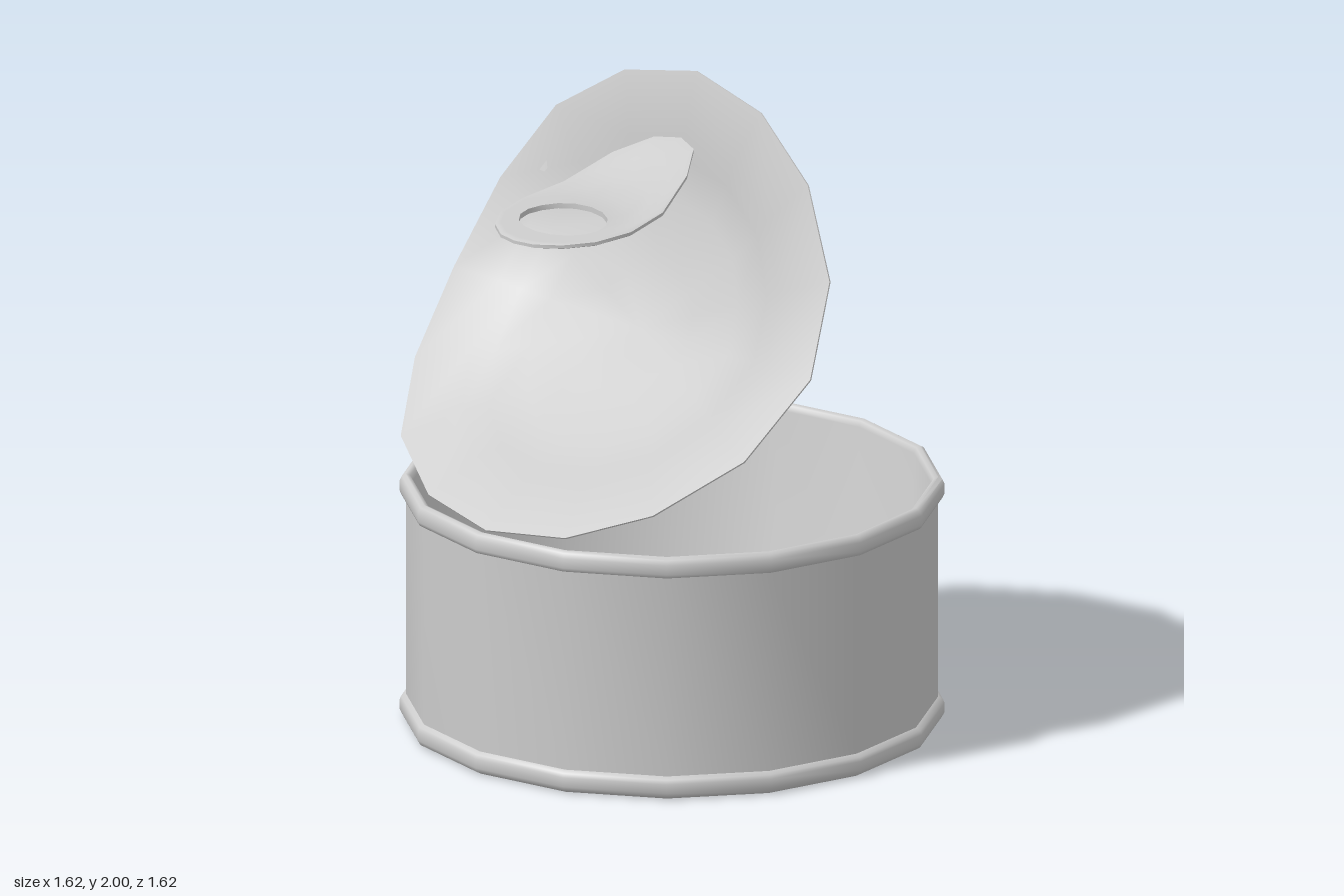
import * as THREE from 'three';
import { toCreasedNormals } from 'three/addons/utils/BufferGeometryUtils.js';

const SIDES = 16;

// Piecewise linear lookup in a list of [key, value] pairs
function lookup(table, k) {
  let i = 0;
  while (i < table.length - 2 && k > table[i + 1][0]) i++;
  const [k0, v0] = table[i], [k1, v1] = table[i + 1];
  return v0 + ((v1 - v0) * (k - k0)) / (k1 - k0);
}

// Skin between rings of SIDES points each; closed joins the last ring to the first
function loft(rings, closed) {
  const pos = rings.flat().flatMap((p) => [p.x, p.y, p.z]);
  const index = [];
  const n = rings.length;
  for (let i = 0; i < (closed ? n : n - 1); i++) {
    for (let j = 0; j < SIDES; j++) {
      const k = (j + 1) % SIDES, m = (i + 1) % n;
      const a = i * SIDES + j, b = i * SIDES + k, c = m * SIDES + k, d = m * SIDES + j;
      index.push(a, b, d, b, c, d);
    }
  }
  const geo = new THREE.BufferGeometry();
  geo.setAttribute('position', new THREE.Float32BufferAttribute(pos, 3));
  geo.setIndex(index);
  return geo;
}

const ring = (fn) => Array.from({ length: SIDES }, (_, j) => fn((j / SIDES) * Math.PI * 2, j));

// Can shell: underside, seams, wall, rim, inside wall and floor in one profile
function canGeometry() {
  const profile = [
    [0, 0.035], [0.53, 0.035], [0.58, 0.022], [0.76, 0.022], [0.775, 0.006],
    [0.79, 0], [0.805, 0.008], [0.812, 0.022], [0.812, 0.05], [0.807, 0.062], [0.793, 0.07],
    [0.793, 0.69], [0.807, 0.694], [0.812, 0.706], [0.812, 0.735], [0.805, 0.75],
    [0.793, 0.757], [0.78, 0.752], [0.773, 0.735],
    [0.773, 0.12], [0.75, 0.075], [0.7, 0.055], [0.58, 0.045], [0.53, 0.058], [0, 0.058],
  ].map(([x, y]) => new THREE.Vector2(x, y));
  return new THREE.LatheGeometry(profile, SIDES);
}

// Peeled lid: a disc with a pressed panel, bent along a curve
function lidGeometry() {
  const R = 0.765;
  const bendX = [[-R, -0.77], [-0.707, -0.725], [-0.54, -0.6], [-0.29, -0.38], [0, -0.165],
    [0.29, -0.03], [0.54, 0.04], [0.707, 0.085], [R, 0.1]];
  const bendY = [[-R, 0.757], [-0.707, 0.79], [-0.54, 0.89], [-0.29, 1.05], [0, 1.27],
    [0.29, 1.53], [0.54, 1.78], [0.707, 1.94], [R, 2]];
  const point = (r, depth) => (a) => {
    const s = r * Math.cos(a);
    const lo = Math.max(s - 0.12, -R), hi = Math.min(s + 0.12, R);
    const t = new THREE.Vector2(lookup(bendX, hi) - lookup(bendX, lo),
      lookup(bendY, hi) - lookup(bendY, lo)).normalize();
    return new THREE.Vector3(lookup(bendX, s) + t.y * depth,
      lookup(bendY, s) - t.x * depth, r * Math.sin(a));
  };
  const section = [[0, 0.045], [0.2, 0.043], [0.38, 0.035], [0.5, 0.026], [0.57, 0], [R, 0]];
  const top = section.map(([r, d]) => ring(point(r, d)));
  const under = section.map(([r, d]) => ring(point(r, d + (r === R ? 0.005 : 0.01)))).reverse();
  return loft([...top, ...under], false);
}

// Pull tab: pear-shaped outline with a finger hole, curving up to the lid
function tabGeometry() {
  const half = [[0.03, 0], [0, 0.085], [-0.1, 0.16], [-0.25, 0.212], [-0.4, 0.232],
    [-0.52, 0.205], [-0.6, 0.145], [-0.648, 0.07], [-0.66, 0]];
  const rise = [[-0.66, 1.638], [-0.42, 1.657], [-0.25, 1.683], [-0.02, 1.79], [0.03, 1.806]];
  const point = (t, drop) => (a, j) => {
    const [ox, oz] = half[j <= 8 ? j : SIDES - j];
    const x = THREE.MathUtils.lerp(-0.457 + 0.115 * Math.cos(a), ox, t);
    const z = THREE.MathUtils.lerp(0.15 * Math.sin(a), j <= 8 ? oz : -oz, t);
    const dip = 0.02 * Math.sin(Math.PI * t) * Math.max(0, Math.cos(a));
    return new THREE.Vector3(x, lookup(rise, x) - dip - drop, z + 0.008);
  };
  const steps = [0, 0.25, 0.5, 0.75, 0.92];
  const top = steps.map((t) => ring(point(t, -0.006)));
  const edge = [ring(point(1, -0.003)), ring(point(1, 0.007))];
  const under = steps.map((t) => ring(point(t, 0.01))).reverse();
  return loft([...top, ...edge, ...under], true);
}

export function createModel() {
  const group = new THREE.Group();
  group.name = 'openTin';
  const material = new THREE.MeshStandardMaterial({ color: 0xcccccc, side: THREE.DoubleSide });
  const parts = { canBody: canGeometry(), lid: lidGeometry(), pullTab: tabGeometry() };
  for (const [name, geometry] of Object.entries(parts)) {
    const mesh = new THREE.Mesh(toCreasedNormals(geometry, 0.95), material);
    mesh.name = name;
    group.add(mesh);
  }
  return group;
}
